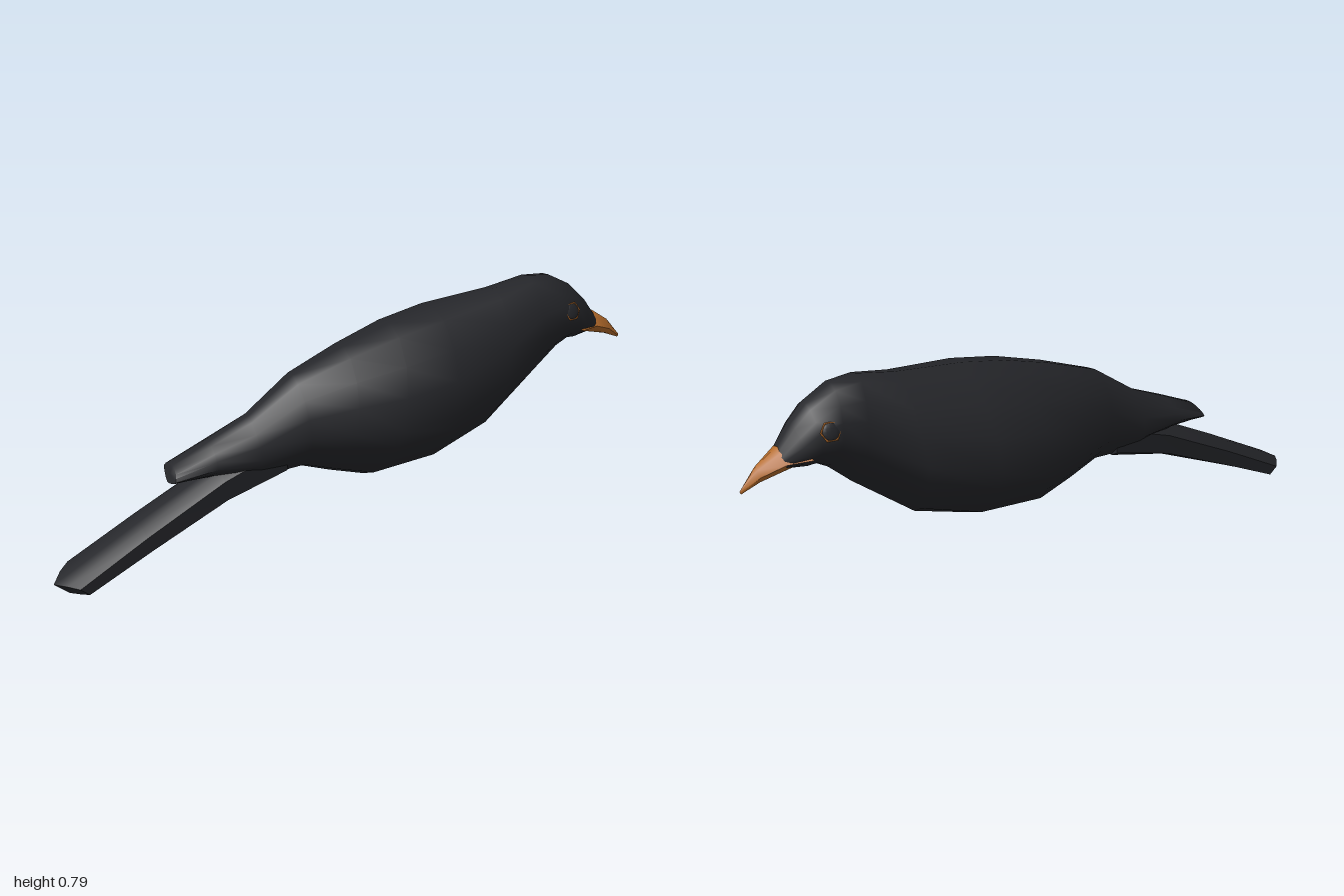
import * as THREE from 'three';
import { toCreasedNormals } from 'three/addons/utils/BufferGeometryUtils.js';

const black = new THREE.MeshStandardMaterial({ color: 0x25262a });
const orange = new THREE.MeshStandardMaterial({ color: 0xb56c2c });

// Half outlines from top to bottom: [share of half width, height from -1 to 1]
const bodyOutline = [[0, 1], [0.35, 0.93], [0.7, 0.68], [0.9, 0.36], [1, -0.03], [0.88, -0.28], [0.62, -0.57], [0.32, -0.85], [0, -1]];
const tailOutline = [[0, 1], [0.55, 0.95], [1, 0.6], [1, -0.6], [0.55, -0.9], [0, -1]];
const beakOutline = [[0, 1], [0.5, 0.75], [1, 0], [0.55, -0.75], [0, -1]];

// Lofts mirrored outlines through sections [topX, topY, bottomX, bottomY, halfWidth, sweep], front to back
function loft(name, outline, sections, material, crease = 1) {
  const ring = [...outline, ...outline.slice(1, -1).reverse().map(([w, v]) => [-w, v])];
  const n = ring.length, positions = [], index = [];
  for (const [tx, ty, bx, by, half, sweep = 0] of sections) {
    for (const [w, v] of ring) {
      const t = (1 - v) / 2, s = sweep * Math.abs(w);
      positions.push(tx + (bx - tx) * t + s, ty + (by - ty) * t + s * 0.45, w * half);
    }
  }
  for (let i = 0; i < sections.length - 1; i++) {
    for (let j = 0; j < n; j++) {
      const a = i * n + j, b = i * n + (j + 1) % n;
      index.push(a, a + n, b, b, a + n, b + n);
    }
  }
  // End caps
  [sections[0], sections.at(-1)].forEach(([tx, ty, bx, by], end) => {
    const c = positions.length / 3, start = end * (sections.length - 1) * n;
    positions.push((tx + bx) / 2, (ty + by) / 2, 0);
    for (let j = 0; j < n; j++) {
      const a = start + j, b = start + (j + 1) % n;
      if (end) index.push(c, b, a);
      else index.push(c, a, b);
    }
  });
  const geometry = new THREE.BufferGeometry();
  geometry.setAttribute('position', new THREE.Float32BufferAttribute(positions, 3));
  geometry.setIndex(index);
  const mesh = new THREE.Mesh(toCreasedNormals(geometry, crease), material);
  mesh.name = name;
  return mesh;
}

export function createModel() {
  const group = new THREE.Group();
  group.name = 'bird';

  // Head, body and folded wing tips in one skin
  group.add(loft('body', bodyOutline, [
    [0.885, 0.615, 0.86, 0.557, 0.048],
    [0.83, 0.69, 0.80, 0.545, 0.08],
    [0.78, 0.74, 0.77, 0.545, 0.095],
    [0.70, 0.785, 0.73, 0.52, 0.106],
    [0.62, 0.795, 0.66, 0.45, 0.108],
    [0.50, 0.77, 0.46, 0.28, 0.16],
    [0.28, 0.745, 0.26, 0.21, 0.225],
    [0.13, 0.715, 0.04, 0.193, 0.22],
    [-0.03, 0.665, -0.08, 0.235, 0.178],
    [-0.20, 0.60, -0.18, 0.275, 0.128],
    [-0.35, 0.49, -0.33, 0.268, 0.092],
    [-0.48, 0.43, -0.48, 0.31, 0.076],
    [-0.60, 0.372, -0.62, 0.32, 0.06],
  ], black));

  // Tail, swept to a point in the middle of its end
  group.add(loft('tail', tailOutline, [
    [-0.25, 0.42, -0.25, 0.28, 0.065],
    [-0.46, 0.34, -0.45, 0.23, 0.073],
    [-0.72, 0.20, -0.70, 0.118, 0.078],
    [-1.0, 0.045, -0.955, 0.002, 0.084, 0.055],
  ], black, 0.8));

  // Beak with the corners of the mouth running back along the cheeks
  group.add(loft('beak', beakOutline, [
    [1.0, 0.517, 0.995, 0.508, 0.003],
    [0.945, 0.583, 0.94, 0.532, 0.025],
    [0.88, 0.629, 0.865, 0.553, 0.053],
    [0.80, 0.62, 0.80, 0.58, 0.082],
  ], orange, 0.9));

  // Eyes with a thin six-sided rim
  for (const side of [1, -1]) {
    const eye = new THREE.Group();
    eye.name = side > 0 ? 'rightEye' : 'leftEye';
    const ball = new THREE.Mesh(new THREE.SphereGeometry(0.026, 12, 8), black);
    ball.name = 'eyeball';
    ball.scale.z = 0.25;
    const rim = new THREE.Mesh(new THREE.TorusGeometry(0.029, 0.003, 4, 6), orange);
    rim.name = 'eyeRim';
    eye.add(ball, rim);
    eye.position.set(0.745, 0.682, side * 0.09);
    eye.lookAt(0.745 + 0.15, 0.682 + 0.4, side * 1.09);
    group.add(eye);
  }
  // Eye names follow the frame: the model's left is +x, so sides are given along z
  group.children.at(-2).name = 'frontEye';
  group.children.at(-1).name = 'backEye';
  return group;
}
